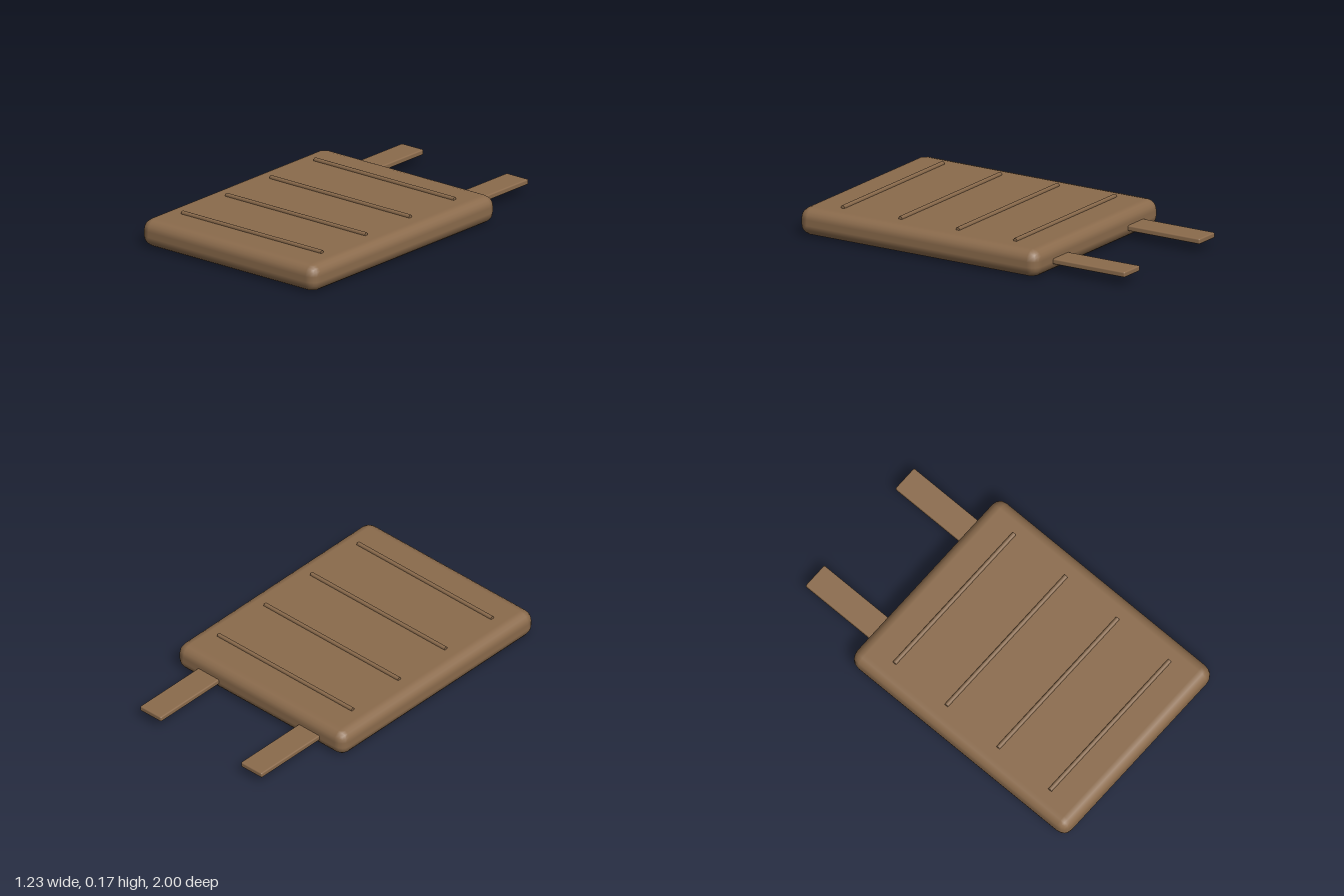
import * as THREE from 'three';
import { RoundedBoxGeometry } from 'three/addons/geometries/RoundedBoxGeometry.js';

export function createModel() {
  const group = new THREE.Group();
  const brown = new THREE.MeshStandardMaterial({ name: 'brown fabric', color: 0x8b6b4c });

  const add = (name, geometry, x, y, z) => {
    const mesh = new THREE.Mesh(geometry, brown);
    mesh.name = name;
    mesh.position.set(x, y, z);
    group.add(mesh);
    return mesh;
  };

  // Padded slab with softly rounded edges
  add('pad', new RoundedBoxGeometry(1.23, 0.155, 1.54, 2, 0.062), 0, 0.0775, 0.23);

  // Raised seams running across the top
  const seam = new THREE.CylinderGeometry(0.0123, 0.0123, 0.984, 6);
  for (let i = 0; i < 4; i++) {
    add('seam' + (i + 1), seam, 0, 0.16, 0.785 - i * 0.37).rotation.z = Math.PI / 2;
  }

  // Flat straps reaching out from the back edge
  const strap = new RoundedBoxGeometry(0.154, 0.031, 0.54, 2, 0.008);
  for (const side of [1, -1]) {
    add(side > 0 ? 'leftStrap' : 'rightStrap', strap, side * 0.369, 0.064, -0.73);
  }

  return group;
}
